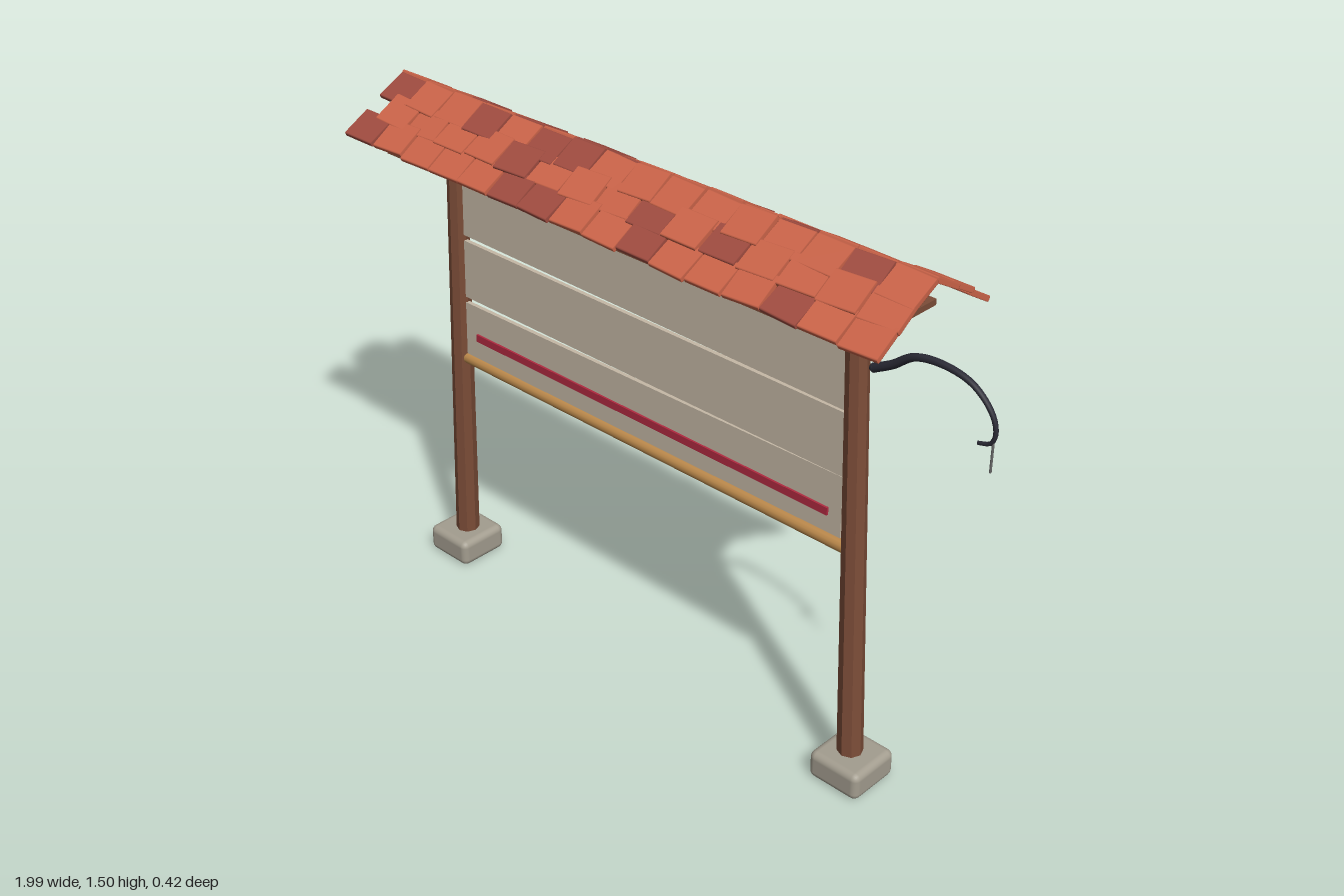
import * as THREE from 'three';
import { RoundedBoxGeometry } from 'three/addons/geometries/RoundedBoxGeometry.js';

const mat = (name, color, extra = {}) => {
  const m = new THREE.MeshStandardMaterial({ color, ...extra });
  m.name = name;
  return m;
};

export function createModel() {
  const wood = mat('brown wood', 0x7c4d38, { flatShading: true });
  const pole = mat('tan pole', 0xbd8a4c);
  const board = mat('pale board', 0xc6b9a6);
  const stone = mat('stone', 0xa39d8f);
  const red = mat('red stripe', 0xb02a40);
  const iron = mat('dark iron', 0x2b2b36);
  const tileLight = mat('light clay', 0xcc6449);
  const tileDark = mat('dark clay', 0xa04c40);
  const cord = mat('grey cord', 0x6a6a6a);

  const model = new THREE.Group();
  model.name = 'signBoard';
  const CX = -0.095; // middle of the board and roof
  let seed = 11;
  const rnd = () => (seed = (seed * 16807) % 2147483647) / 2147483647;
  const jitter = (a) => (rnd() - 0.5) * 2 * a;

  const add = (name, geo, material, x = 0, y = 0, z = 0, parent = model) => {
    const m = new THREE.Mesh(geo, material);
    m.name = name;
    m.position.set(x, y, z);
    parent.add(m);
    return m;
  };
  // Cylinder between two points
  const rod = (name, a, b, rA, rB, material, sides = 12) => {
    const d = b.clone().sub(a);
    const m = add(name, new THREE.CylinderGeometry(rB, rA, d.length(), sides), material);
    m.position.copy(a).addScaledVector(d, 0.5);
    m.quaternion.setFromUnitVectors(new THREE.Vector3(0, 1, 0), d.normalize());
    return m;
  };
  const V = (x, y, z = 0) => new THREE.Vector3(x, y, z);

  // Leaning posts on foot stones
  for (const s of [-1, 1]) {
    rod(s > 0 ? 'leftPost' : 'rightPost', V(CX + s * 0.748, 0.06), V(CX + s * 0.688, 1.42), 0.035, 0.028, wood, 8);
    add('footStone', new RoundedBoxGeometry(0.16, 0.082, 0.16, 3, 0.02), stone, CX + s * 0.753, 0.042, 0);
  }

  // Poles that hold the boards, and the ridge beam
  rod('topPole', V(-0.83, 1.275), V(0.64, 1.275), 0.016, 0.016, pole);
  rod('bottomPole', V(-0.79, 0.69), V(0.6, 0.692), 0.018, 0.018, pole);
  rod('ridgeBeam', V(-0.87, 1.435), V(0.68, 1.435), 0.037, 0.037, pole, 16);
  for (let i = 0; i < 4; i++) {
    add('peg', new THREE.SphereGeometry(0.009, 10, 8), iron, -0.71 + i * 0.41, 1.275, 0.015);
  }

  // Boards: [top left, top right, bottom right, bottom left] heights
  const planks = [
    [1.268, 1.248, 1.072, 1.083],
    [1.066, 1.066, 0.89, 0.89],
    [0.872, 0.889, 0.714, 0.705],
  ];
  for (const [tl, tr, br, bl] of planks) {
    const shape = new THREE.Shape([
      new THREE.Vector2(-0.785, bl), new THREE.Vector2(0.585, br),
      new THREE.Vector2(0.585, tr), new THREE.Vector2(-0.785, tl),
    ]);
    add('plank', new THREE.ExtrudeGeometry(shape, { depth: 0.012, bevelEnabled: false }), board, 0, 0, -0.006);
  }
  add('stripe', new THREE.BoxGeometry(1.28, 0.022, 0.006), red, CX, 0.776, 0.009);

  // Flat ceiling under the roof
  add('ceiling', new THREE.BoxGeometry(1.59, 0.016, 0.305), wood, CX, 1.342, 0);

  // Three overlapping rows of uneven tiles on each slope
  const roof = new THREE.Group();
  roof.name = 'roof';
  model.add(roof);
  const rows = [
    { z: 0.162, y: 1.393, from: -1.0, n: 16 },
    { z: 0.097, y: 1.434, from: -0.945, n: 15 },
    { z: 0.04, y: 1.467, from: -1.0, n: 16 },
  ];
  const tileGeo = new RoundedBoxGeometry(1, 0.015, 0.094, 1, 0.004);
  for (const s of [-1, 1]) {
    for (const { z, y, from, n } of rows) {
      const pitch = (0.81 - from) / n;
      for (let i = 0; i < n; i++) {
        const t = add('roofTile', tileGeo, rnd() < 0.35 ? tileDark : tileLight,
          from + (i + 0.5) * pitch, y + jitter(0.003), s * (z + jitter(0.003)), roof);
        t.scale.x = pitch * 0.95;
        t.rotation.set(s * (0.53 + jitter(0.03)), jitter(0.05), jitter(0.025));
      }
    }
  }

  // Curved lantern hook, thinner toward its tip
  const path = new THREE.CatmullRomCurve3([
    V(0.65, 1.213), V(0.7, 1.24), V(0.76, 1.282), V(0.84, 1.293), V(0.92, 1.275),
    V(0.975, 1.225), V(0.99, 1.18), V(0.98, 1.15), V(0.947, 1.138),
  ]);
  const SEG = 40, SIDES = 8;
  const hook = new THREE.TubeGeometry(path, SEG, 1, SIDES);
  const p = hook.attributes.position;
  for (let i = 0; i <= SEG; i++) {
    const c = path.getPointAt(i / SEG), r = 0.012 - 0.007 * (i / SEG);
    for (let j = 0; j <= SIDES; j++) {
      const k = i * (SIDES + 1) + j;
      const v = new THREE.Vector3().fromBufferAttribute(p, k).sub(c).multiplyScalar(r).add(c);
      p.setXYZ(k, v.x, v.y, v.z);
    }
  }
  add('hook', hook, iron);
  add('hookCap', new THREE.SphereGeometry(0.012, 8, 6), iron, 0.65, 1.213, 0);
  rod('hookCord', V(0.986, 1.155), V(0.986, 1.077), 0.003, 0.003, cord, 6);

  return model;
}
